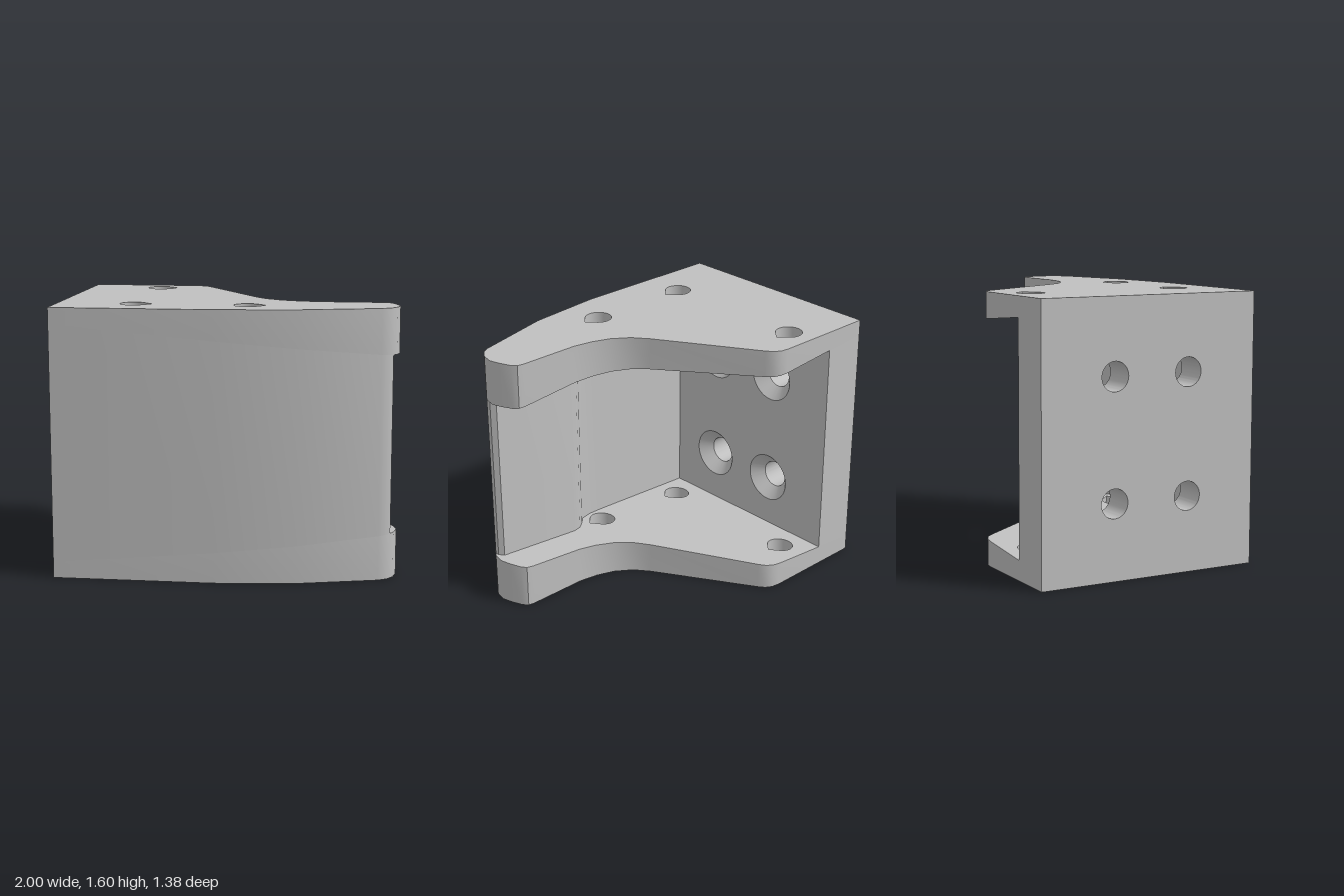
import * as THREE from 'three';
import { toCreasedNormals } from 'three/addons/utils/BufferGeometryUtils.js';

const H = 1.6;                       // overall height
const WALL_X = -0.73;                // inner face of the side wall
const SINK_X = -0.80;                // where the countersinks end
const BORE = 0.085, SINK = 0.155;    // screw hole radii
const ceiling = x => 1.415 - 0.09 * x;   // tapered inner faces of the plates
const floor = x => H - ceiling(x);

// Move every vertex of a geometry by a rule, then shade with sharp edges
function reshape(geo, rule) {
  const p = geo.attributes.position, v = new THREE.Vector3();
  for (let i = 0; i < p.count; i++) {
    rule(v.fromBufferAttribute(p, i));
    p.setXYZ(i, v.x, v.y, v.z);
  }
  return toCreasedNormals(geo, 0.5);
}

// Prism over a plan outline of [x, z] points, between two sloping surfaces
function planPrism(outline, holes, low, high) {
  const shape = new THREE.Shape(outline.map(([x, z]) => new THREE.Vector2(x, -z)));
  shape.holes.push(...holes);
  const geo = new THREE.ExtrudeGeometry(shape, { depth: 1, bevelEnabled: false, curveSegments: 20 });
  geo.rotateX(-Math.PI / 2);
  return reshape(geo, v => { v.y = v.y < 0.5 ? low(v.x) : high(v.x); });
}

// Teardrop pin hole with its point toward +x
function teardrop(x, z, r = 0.08) {
  const path = new THREE.Path();
  path.absarc(x, -z, r, Math.PI / 4, Math.PI * 7 / 4, false);
  path.lineTo(x + r * 1.35, -z);
  path.closePath();
  return path;
}

const screws = [];
for (const y of [0.445, 1.157]) for (const z of [0.247, -0.23]) screws.push([z, y]);

// Slab of the side wall between two x positions, with round holes that may taper
function wallSlab(x0, x1, r0, r1) {
  const shape = new THREE.Shape();
  const y0 = floor(WALL_X), y1 = ceiling(WALL_X), zh = 0.69;
  shape.moveTo(-zh, y0).lineTo(zh, y0).lineTo(zh, y1).lineTo(-zh, y1).closePath();
  for (const [z, y] of screws) {
    const hole = new THREE.Path();
    hole.absarc(-z, y, r1, 0, Math.PI * 2, false);
    shape.holes.push(hole);
  }
  const geo = new THREE.ExtrudeGeometry(shape, { depth: x1 - x0, bevelEnabled: false, curveSegments: 32 });
  geo.rotateY(Math.PI / 2).translate(x0, 0, 0);
  return reshape(geo, v => {
    if (Math.abs(v.z) > 0.68) {
      v.y = v.y > H / 2 ? ceiling(v.x) : floor(v.x);
    } else if (v.x < (x0 + x1) / 2) {
      const [z, y] = screws.find(s => Math.hypot(v.z - s[0], v.y - s[1]) < r1 + 0.01);
      v.z = z + (v.z - z) * r0 / r1;
      v.y = y + (v.y - y) * r0 / r1;
    }
  });
}

export function createModel() {
  const group = new THREE.Group();
  group.name = 'bracket';
  const grey = new THREE.MeshStandardMaterial({ color: 0xc0c0c0 });
  grey.name = 'light grey';
  const add = (name, geo) => {
    const mesh = new THREE.Mesh(geo, grey);
    mesh.name = name;
    group.add(mesh);
  };

  // Top and bottom plates with the curved arm outline
  const front = [[-0.05, 0.69], [0.42, 0.64], [0.9, 0.51]];
  const plate = [
    [-1, 0.69], ...front, [0.95, 0.48], [0.985, 0.43], [1, 0.36], [0.985, 0.3],
    [0.955, 0.225], [0.93, 0.197], [0.89, 0.19], [0.52, 0.19], [0.4, 0.17],
    [0.29, 0.13], [0.19, 0.06], [0.12, -0.03], [-0.24, -0.62], [-0.27, -0.66],
    [-0.31, -0.683], [-0.36, -0.69], [-1, -0.69],
  ];
  const pins = () => [teardrop(-0.55, -0.52), teardrop(-0.55, 0.43), teardrop(0.12, 0.43)];
  add('bottomPlate', planPrism(plate, pins(), () => 0, floor));
  add('topPlate', planPrism(plate, pins(), ceiling, () => H));

  // Front wall, thin beside the pin hole and thicker along the arm
  const wall = [
    [WALL_X, 0.69], ...front, [0.945, 0.483], [0.967, 0.455], [0.965, 0.43], [0.94, 0.402],
    [0.38, 0.402], [0.32, 0.42], [0.27, 0.46], [0.22, 0.51], [0.14, 0.535],
    [0.04, 0.545], [WALL_X, 0.59],
  ];
  add('frontWall', planPrism(wall, [], floor, ceiling));

  // Side wall with four screw holes, countersunk from the inside
  add('sideWall', wallSlab(-1, SINK_X, BORE, BORE));
  add('sideWallCountersinks', wallSlab(SINK_X, WALL_X, BORE, SINK));

  return group;
}
